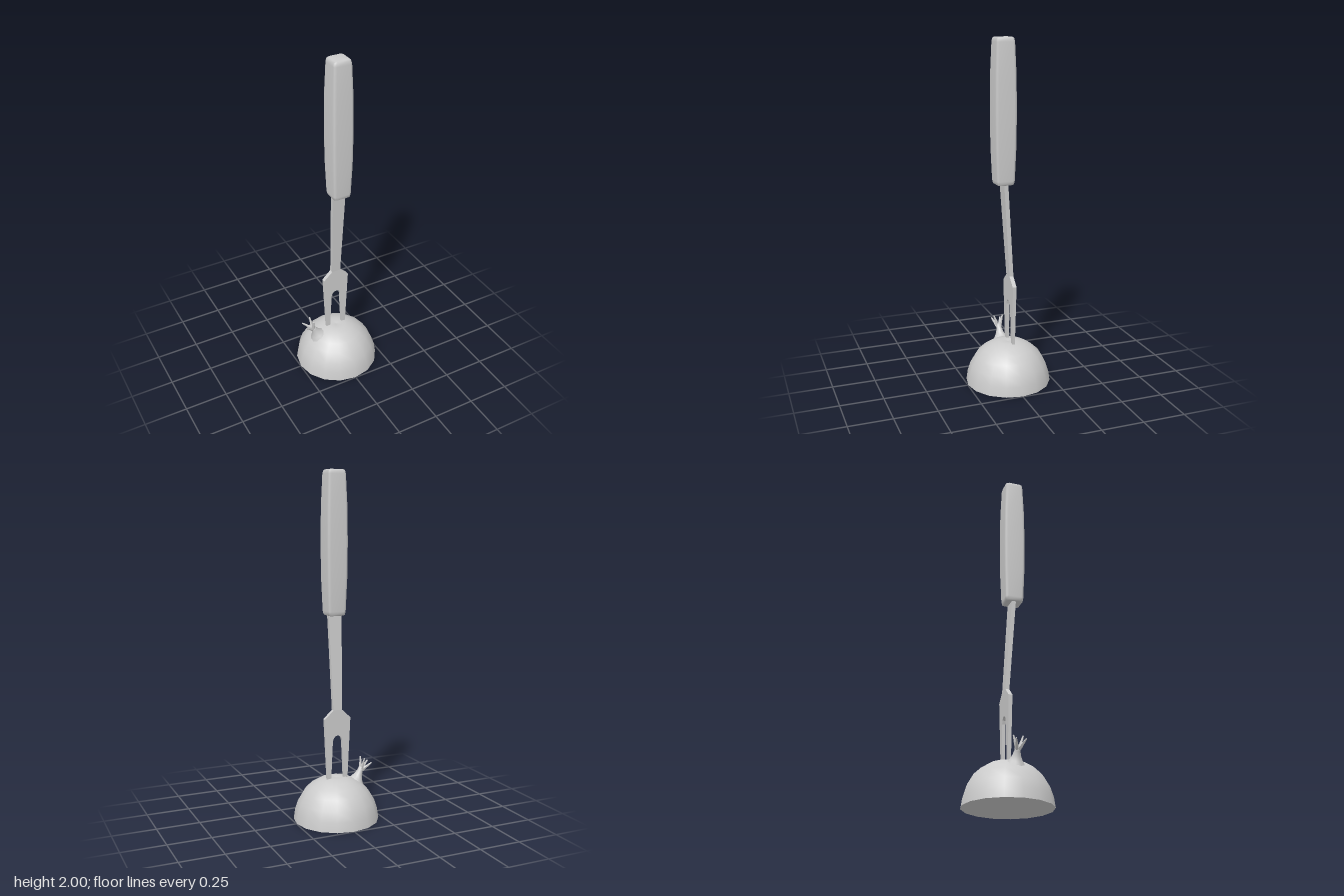
import * as THREE from 'three';
import { toCreasedNormals } from 'three/addons/utils/BufferGeometryUtils.js';

const material = new THREE.MeshStandardMaterial({ color: 0xcccccc });

function addMesh(parent, name, geometry) {
  const mesh = new THREE.Mesh(geometry, material);
  mesh.name = name;
  parent.add(mesh);
  return mesh;
}

// Flat plate cut from an outline, then bent and thinned along its height
function plate(shape, middleZ, halfThickness) {
  const geo = new THREE.ExtrudeGeometry(shape, { depth: 1, bevelEnabled: false, curveSegments: 6 });
  const p = geo.attributes.position;
  for (let i = 0; i < p.count; i++) {
    const y = p.getY(i);
    p.setZ(i, middleZ(y) + (p.getZ(i) * 2 - 1) * halfThickness(y));
  }
  geo.computeVertexNormals();
  return geo;
}

// Skin over rounded-square rings [y, half width, corner radius], capped at both ends
function roundedSquareLoft(rings, centreZ) {
  const positions = [], index = [], n = 12;
  for (const [y, h, r] of rings) {
    for (let c = 0; c < 4; c++) {
      const mid = Math.PI / 4 + c * Math.PI / 2;
      for (let k = -1; k <= 1; k++) {
        const a = mid + k * Math.PI / 4;
        const cx = Math.sign(Math.cos(mid)) * (h - r), cz = -Math.sign(Math.sin(mid)) * (h - r);
        positions.push(cx + Math.cos(a) * r, y, centreZ + cz - Math.sin(a) * r);
      }
    }
  }
  const last = (rings.length - 1) * n;
  for (let i = 0; i < last; i += n) {
    for (let j = 0; j < n; j++) {
      const a = i + j, b = i + (j + 1) % n;
      index.push(a, b, b + n, a, b + n, a + n);
    }
  }
  const bottom = positions.length / 3, top = bottom + 1;
  positions.push(0, rings[0][0], centreZ, 0, rings[rings.length - 1][0], centreZ);
  for (let j = 0; j < n; j++) {
    const k = (j + 1) % n;
    index.push(bottom, k, j, top, last + j, last + k);
  }
  const geo = new THREE.BufferGeometry();
  geo.setAttribute('position', new THREE.Float32BufferAttribute(positions, 3));
  geo.setIndex(index);
  geo.computeVertexNormals();
  return geo;
}

// Tapered rod between two points
function addRod(parent, name, from, to, r0, r1) {
  const a = new THREE.Vector3(...from), b = new THREE.Vector3(...to);
  const dir = b.clone().sub(a);
  const rod = addMesh(parent, name,
    toCreasedNormals(new THREE.CylinderGeometry(r1, r0, dir.length(), 5), 0.9));
  rod.position.copy(a).add(b).multiplyScalar(0.5);
  rod.quaternion.setFromUnitVectors(new THREE.Vector3(0, 1, 0), dir.normalize());
}

export function createModel() {
  const model = new THREE.Group();
  model.name = 'forkInHalfFruit';

  // Halved fruit, cut face down
  const fruit = new THREE.Group();
  fruit.name = 'halfFruit';
  model.add(fruit);
  const dome = [[0.248, 0], [0.24, 0.055], [0.222, 0.11], [0.188, 0.168], [0.147, 0.206],
    [0.1, 0.234], [0.055, 0.247], [0.02, 0.247], [0, 0.243]];
  addMesh(fruit, 'fruitSkin', new THREE.LatheGeometry(dome.map(([r, y]) => new THREE.Vector2(r, y)), 16));
  addMesh(fruit, 'cutFace', new THREE.CircleGeometry(0.248, 16)).rotation.x = Math.PI / 2;

  // Flared neck leaning to the side, topped with a split crown
  const crown = new THREE.Group();
  crown.name = 'crown';
  fruit.add(crown);
  const flare = [[0.075, -0.03], [0.055, 0.005], [0.036, 0.027], [0.024, 0.05], [0.017, 0.075],
    [0.016, 0.098], [0, 0.1]];
  const neck = addMesh(crown, 'crownNeck',
    new THREE.LatheGeometry(flare.map(([r, y]) => new THREE.Vector2(r, y)), 10));
  neck.position.set(-0.121, 0.198, 0);
  neck.rotation.z = 0.46;
  for (const s of [-1, 1]) {
    addRod(crown, 'outerCrownPoint', [-0.166, 0.272, s * 0.006], [-0.217, 0.314, s * 0.028], 0.011, 0.004);
    addRod(crown, 'upperCrownPoint', [-0.162, 0.274, s * 0.006], [-0.17, 0.343, s * 0.027], 0.011, 0.004);
  }

  // Fork stuck upright in the fruit
  const fork = new THREE.Group();
  fork.name = 'fork';
  model.add(fork);

  // Two-pronged blade with a round-topped slot
  const blade = new THREE.Shape();
  blade.moveTo(0.027, 0.65);
  blade.lineTo(-0.027, 0.65);
  blade.lineTo(-0.08, 0.6);
  blade.lineTo(-0.062, 0.2);
  blade.lineTo(-0.041, 0.2);
  blade.lineTo(-0.03, 0.465);
  blade.bezierCurveTo(-0.026, 0.512, 0.026, 0.512, 0.03, 0.465);
  blade.lineTo(0.041, 0.2);
  blade.lineTo(0.062, 0.2);
  blade.lineTo(0.08, 0.6);
  blade.closePath();
  addMesh(fork, 'prongs', plate(blade, () => -0.012, y => 0.0075 + (y - 0.2) * 0.01));

  // Shank sloping forward to the handle
  const shank = new THREE.Shape();
  shank.moveTo(-0.027, 0.65);
  shank.lineTo(0.027, 0.65);
  shank.lineTo(0.041, 1.25);
  shank.lineTo(-0.041, 1.25);
  shank.closePath();
  addMesh(fork, 'shank', plate(shank, y => -0.012 + (y - 0.65) * 0.066, () => 0.012));

  // Swelling square grip with rounded corners
  addMesh(fork, 'handle', roundedSquareLoft([
    [1.19, 0.042, 0.012], [1.195, 0.05, 0.015], [1.215, 0.054, 0.016], [1.4, 0.061, 0.018],
    [1.6, 0.063, 0.018], [1.8, 0.061, 0.018], [1.975, 0.054, 0.016], [1.994, 0.05, 0.015],
    [2.0, 0.042, 0.012],
  ], 0.027));

  return model;
}
